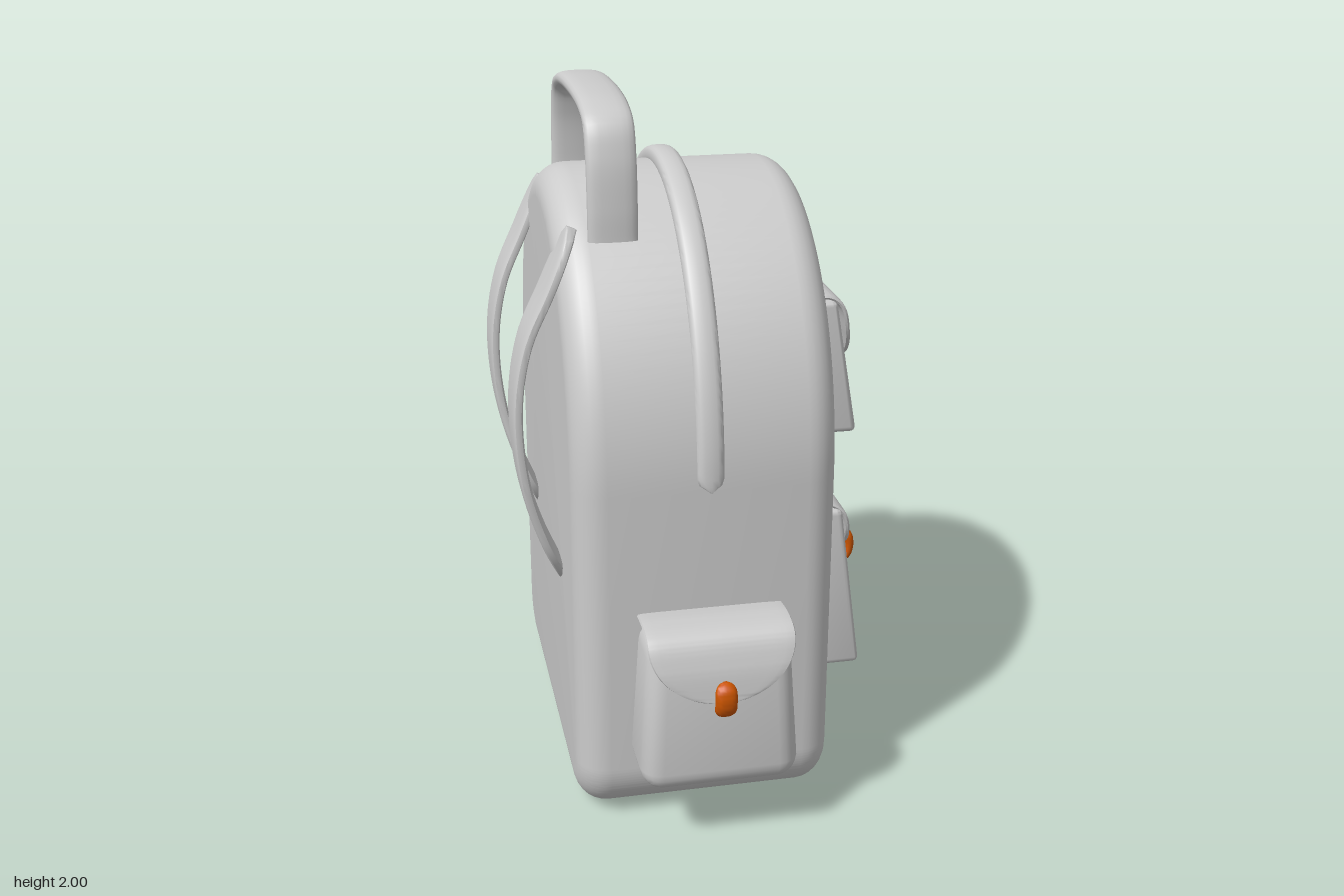
import * as THREE from 'three';
import { toCreasedNormals, mergeVertices } from 'three/addons/utils/BufferGeometryUtils.js';
import { RoundedBoxGeometry } from 'three/addons/geometries/RoundedBoxGeometry.js';

const V = (x, y, z) => new THREE.Vector3(x, y, z);
const X = V(1, 0, 0), Z = V(0, 0, 1);
const CX = -0.033; // centre line of the trim and side pockets

// Band swept along a curve: widthDir is its fixed across direction,
// half width may vary as a function of t and the point on the path.
function sweep(points, widthDir, halfWidth, halfThick, { steps = 40, power = 0.6, around = 20 } = {}) {
  const curve = new THREE.CatmullRomCurve3(points);
  const pos = [], index = [];
  for (let i = 0; i <= steps; i++) {
    const t = i / steps, p = curve.getPointAt(t);
    const n = curve.getTangentAt(t).cross(widthDir).normalize();
    const w = typeof halfWidth === 'function' ? halfWidth(t, p) : halfWidth;
    const h = typeof halfThick === 'function' ? halfThick(t) : halfThick;
    for (let j = 0; j < around; j++) {
      const a = (j / around) * Math.PI * 2, c = Math.cos(a), s = Math.sin(a);
      const q = p.clone()
        .addScaledVector(widthDir, w * Math.sign(c) * Math.abs(c) ** power)
        .addScaledVector(n, h * Math.sign(s) * Math.abs(s) ** power);
      pos.push(q.x, q.y, q.z);
      if (i < steps) {
        const k = (j + 1) % around, r = i * around, u = r + around;
        index.push(r + j, r + k, u + j, r + k, u + k, u + j);
      }
    }
  }
  // end caps
  const last = steps * around, c0 = pos.length / 3;
  for (const t of [0, 1]) pos.push(...curve.getPointAt(t).toArray());
  for (let j = 0; j < around; j++) {
    const k = (j + 1) % around;
    index.push(c0, k, j, c0 + 1, last + j, last + k);
  }
  const g = new THREE.BufferGeometry();
  g.setAttribute('position', new THREE.Float32BufferAttribute(pos, 3));
  g.setIndex(index);
  return toCreasedNormals(g, 0.75);
}

// Rounded box whose vertices are moved by a rule, with smooth edges
function shapedBox(w, h, d, r, rule) {
  let g = new RoundedBoxGeometry(w, h, d, 3, r);
  const p = g.attributes.position, v = V(0, 0, 0);
  for (let i = 0; i < p.count; i++) {
    rule(v.fromBufferAttribute(p, i));
    p.setXYZ(i, v.x, v.y, v.z);
  }
  g.deleteAttribute('normal');
  g.deleteAttribute('uv');
  g = mergeVertices(g, 1e-4);
  return toCreasedNormals(g, 0.75);
}

// U-shaped flap outline: full width above yTop, narrowing to nothing at yEnd
const flapWidth = (half, yTop, yEnd) => (t, p) =>
  t < 0.3 ? half : half * Math.sqrt(Math.max(0.0004, 1 - (Math.max(0, yTop - p.y) / (yTop - yEnd)) ** 2));

// Rounded ends for a strip
const roundEnds = (half, len) => (t) => {
  const e = Math.min(1, Math.min(t, 1 - t) / len);
  return half * Math.sqrt(Math.max(0.01, 1 - (1 - e) ** 2));
};

export function createModel() {
  const model = new THREE.Group();
  const grey = new THREE.MeshStandardMaterial({ color: 0xcccccc, side: THREE.DoubleSide });
  const orange = new THREE.MeshStandardMaterial({ color: 0xcc5500 });
  const add = (name, geometry, parent = model, material = grey) => {
    const m = new THREE.Mesh(geometry, material);
    m.name = name;
    parent.add(m);
    return m;
  };

  // Main bag: arched outline extruded front to back with rounded edges
  const A = 0.63, B = 0.757, R = 0.17, bevel = 0.09;
  const s = new THREE.Shape();
  s.moveTo(-A + R, 0);
  s.lineTo(A - R, 0);
  s.absarc(A - R, R, R, -Math.PI / 2, 0, false);
  s.lineTo(A, 1);
  s.absellipse(0, 1, A, B, 0, Math.PI, false);
  s.lineTo(-A, R);
  s.absarc(-A + R, R, R, Math.PI, Math.PI * 1.5, false);
  const bag = new THREE.ExtrudeGeometry(s, {
    depth: 0.73 - 2 * bevel, bevelThickness: bevel, bevelSize: bevel, bevelOffset: -bevel,
    bevelSegments: 7, curveSegments: 28,
  });
  bag.rotateY(Math.PI / 2).translate(-0.4 + bevel, 0, 0);
  add('bag', toCreasedNormals(bag, 0.75));

  // Zip trim over the arch
  const arch = [];
  for (let i = 0; i <= 24; i++) {
    const a = (i / 24) * Math.PI;
    arch.push(V(CX, 1 + 0.765 * Math.sin(a), 0.618 * Math.cos(a)));
  }
  add('zipTrim', sweep(arch, X, roundEnds(0.038, 0.018), 0.03, { steps: 120, power: 0.7 }));

  // Carry handle
  const half = [[0.365, 1.63], [0.363, 1.72], [0.348, 1.85], [0.315, 1.93], [0.24, 1.96], [0.12, 1.974]];
  const handle = [
    ...half.map(([z, y]) => V(-0.245, y, z)),
    V(-0.245, 1.977, 0),
    ...half.slice().reverse().map(([z, y]) => V(-0.245, y, -z)),
  ];
  add('handle', sweep(handle, X, 0.068, 0.023, { steps: 80, power: 0.7 }));

  // Shoulder straps on the back
  for (const side of [1, -1]) {
    const path = [[-0.35, 1.66, 0.325], [-0.42, 1.5, 0.325], [-0.485, 1.35, 0.32], [-0.515, 1.17, 0.32],
      [-0.5, 0.95, 0.315], [-0.45, 0.77, 0.3], [-0.385, 0.62, 0.28]].map(([x, y, z]) => V(x, y, z * side));
    add(side > 0 ? 'leftStrap' : 'rightStrap', sweep(path, Z, roundEnds(0.084, 0.15), 0.015, { power: 0.5 }));
  }

  // Front pockets: wedges with a U-shaped flap
  const frontPocket = (name, halfW, y0, y1, depth, flapHalf, flap, yEnd) => {
    const g = new THREE.Group();
    g.name = name;
    model.add(g);
    const h = y1 - y0, x0 = 0.28;
    const box = shapedBox(depth - x0, h, halfW * 2, 0.018, (v) => {
      const k = v.y / h + 0.5;
      if (v.x > 0) v.x -= 0.07 * k;
    });
    box.translate((depth + x0) / 2, (y0 + y1) / 2, 0);
    add('pocketBody', box, g);
    add('pocketFlap', sweep(flap.map(([x, y]) => V(x, y, 0)), Z,
      flapWidth(flapHalf, flap[2][1], yEnd), 0.008, { steps: 60, power: 0.3 }), g);
    return g;
  };
  frontPocket('upperPocket', 0.243, 0.98, 1.385, 0.492, 0.25,
    [[0.31, 1.38], [0.385, 1.4], [0.43, 1.375], [0.46, 1.28], [0.482, 1.16]], 1.159);
  const lower = frontPocket('lowerPocket', 0.312, 0.25, 0.765, 0.507, 0.3,
    [[0.31, 0.78], [0.4, 0.778], [0.445, 0.745], [0.468, 0.66], [0.482, 0.56]], 0.559);

  // Curved toggle clasps
  const clasp = (pts, dir, parent) =>
    add('clasp', sweep(pts, dir, roundEnds(0.03, 0.3), roundEnds(0.017, 0.3), { steps: 20, power: 0.85 }), parent, orange);
  for (const z of [0.12, -0.12]) {
    clasp([V(0.495, 0.618, z), V(0.513, 0.585, z), V(0.512, 0.545, z), V(0.49, 0.508, z)], Z, lower);
  }

  // Side pockets: rounded pouch, flap and clasp, mirrored on both sides
  for (const side of [1, -1]) {
    const g = new THREE.Group();
    g.name = side > 0 ? 'leftSidePocket' : 'rightSidePocket';
    const pouch = shapedBox(0.45, 0.45, 0.26, 0.06, (v) => {
      const k = v.y / 0.45 + 0.5;
      v.x *= k > 0.3 ? 1 - 0.2 * (k - 0.3) : 1 - 0.12 * (0.3 - k);
      if (v.z > 0) v.z -= 0.02 * k;
    });
    pouch.translate(CX, 0.415, 0.68);
    add('pocketBody', pouch, g);
    const path = [[0.6, 0.645], [0.7, 0.654], [0.77, 0.638], [0.805, 0.57], [0.823, 0.47]];
    add('pocketFlap', sweep(path.map(([z, y]) => V(CX, y, z)), X,
      flapWidth(0.203, 0.638, 0.469), 0.008, { steps: 60, power: 0.3 }), g);
    clasp([V(CX, 0.535, 0.823), V(CX, 0.505, 0.839), V(CX, 0.465, 0.838), V(CX, 0.43, 0.815)], X, g);
    if (side < 0) g.rotation.y = Math.PI, g.position.x = 2 * CX;
    model.add(g);
  }
  return model;
}
